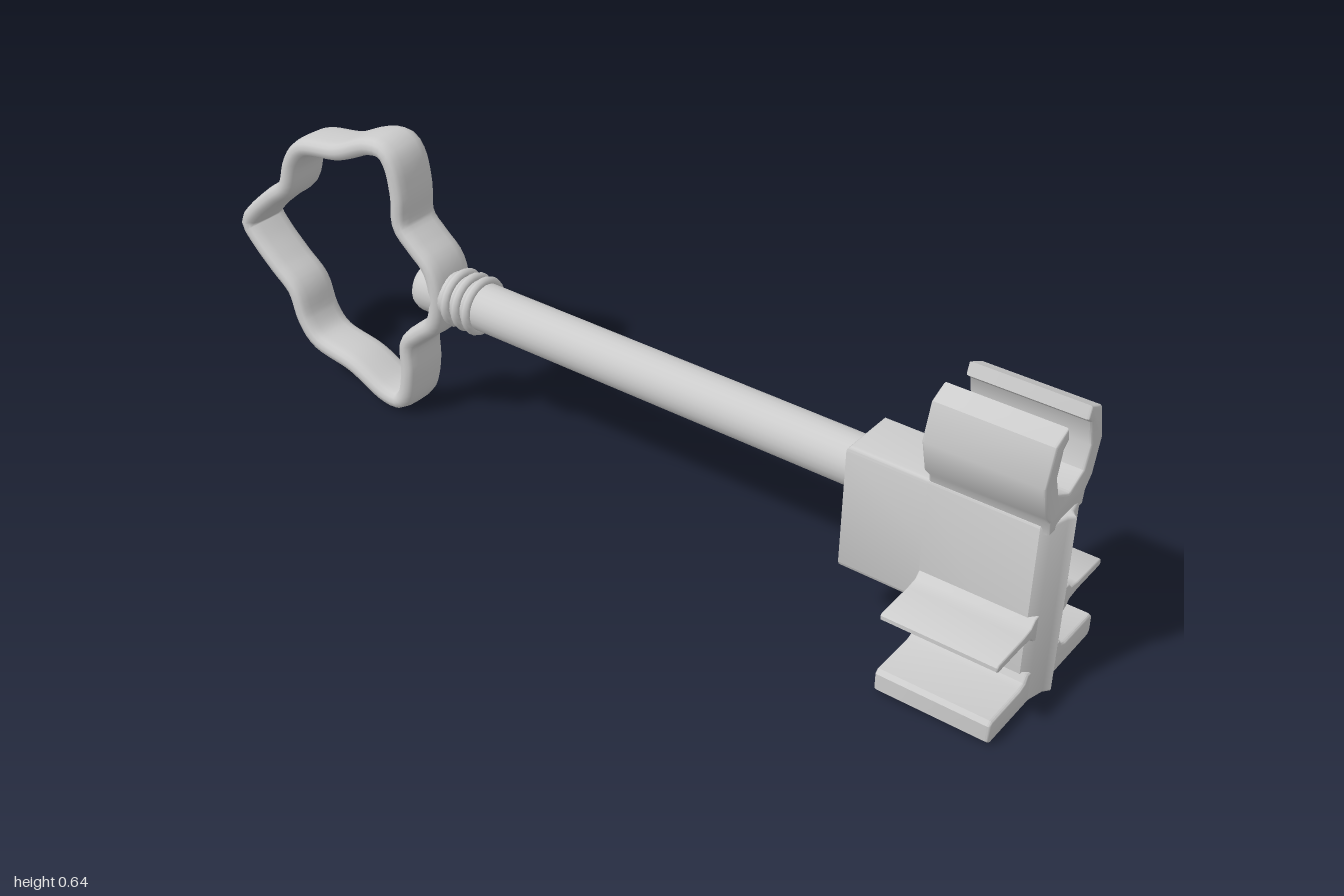
import * as THREE from 'three';
import { toCreasedNormals } from 'three/addons/utils/BufferGeometryUtils.js';

const MID = 0.323; // height of the shaft axis

export function createModel() {
  const group = new THREE.Group();
  const mat = new THREE.MeshStandardMaterial({ color: 0xcccccc });

  const add = (name, geo) => {
    const mesh = new THREE.Mesh(geo, mat);
    mesh.name = name;
    group.add(mesh);
    return mesh;
  };
  const outline = (pts) => new THREE.Shape(pts.map(([x, y]) => new THREE.Vector2(x, y)));
  const mirrored = (half) => [...half, ...half.slice().reverse().map(([x, y]) => [-x, y])];

  // Softly bevelled slab between two depths
  const slab = (pts, from, to, b) => {
    const geo = new THREE.ExtrudeGeometry(outline(pts), {
      depth: to - from - 2 * b, bevelThickness: b, bevelSize: b, bevelOffset: -b, bevelSegments: 3,
    });
    geo.translate(0, 0, from + b);
    return toCreasedNormals(geo, 0.7);
  };
  // Slab standing upright: plan given as (x, z), raised from y0 to y1
  const upright = (plan, y0, y1, b) => {
    const geo = slab(plan.map(([x, z]) => [x, -z]).reverse(), y0, y1, b);
    return geo.rotateX(-Math.PI / 2);
  };

  // Bit: rear block and ridged front column
  add('bitBlock', upright([[-0.064, 0.585], [-0.064, 0.93], [0.064, 0.93], [0.064, 0.585]], 0.128, 0.393, 0.01));
  add('bitColumn', upright(
    [[-0.064, 0.75], [-0.064, 0.965], [-0.05, 0.98], [-0.012, 0.99], [0, 1], [0.012, 0.99], [0.05, 0.98], [0.064, 0.965], [0.064, 0.75]],
    0.004, 0.393, 0.008));

  // Foot plate flaring up into the column
  add('footPlate', slab(mirrored([
    [0.185, 0.004], [0.193, 0.012], [0.193, 0.046], [0.185, 0.054],
    [0.085, 0.055], [0.07, 0.06], [0.062, 0.075],
  ]), 0.75, 0.98, 0.006));

  // Side fins with flared roots
  for (const s of [1, -1]) {
    const pts = [
      [0.05, 0.145], [0.062, 0.15], [0.072, 0.16], [0.1, 0.164], [0.187, 0.164], [0.192, 0.168],
      [0.192, 0.176], [0.187, 0.18], [0.1, 0.182], [0.075, 0.186], [0.063, 0.198], [0.05, 0.2],
    ].map(([x, y]) => [s * x, y]);
    add(s > 0 ? 'leftFin' : 'rightFin', slab(pts, 0.75, 0.98, 0.003));
  }

  // Open clip on top of the bit
  add('clip', slab(mirrored([
    [0.06, 0.375], [0.064, 0.403], [0.084, 0.424], [0.103, 0.493], [0.082, 0.564], [0.042, 0.582],
    [0.034, 0.558], [0.05, 0.545], [0.061, 0.495], [0.045, 0.452], [0.003, 0.432],
  ]), 0.75, 0.982, 0.005));

  // Shaft and collar rings
  const shaft = new THREE.CylinderGeometry(0.051, 0.051, 1.02, 24).rotateX(Math.PI / 2);
  add('shaft', shaft).position.set(0, MID, 0.1);
  for (const z of [-0.328, -0.356, -0.384]) {
    add('collarRing', new THREE.TorusGeometry(0.054, 0.01, 8, 24)).position.set(0, MID, z);
  }

  // Rounded end of the shaft inside the bow
  const knobProfile = [[0, 0], [0.04, 0], [0.05, 0.008], [0.055, 0.022], [0.054, 0.06], [0.046, 0.085], [0.04, 0.105]];
  const knob = new THREE.LatheGeometry(knobProfile.map(([r, h]) => new THREE.Vector2(r, h)), 20);
  add('shaftKnob', knob.rotateX(Math.PI / 2)).position.set(0, MID, -0.488);

  // Bow: wavy closed band, upper half mirrored about the shaft axis (z, height offset)
  const upper = [
    [-0.435, 0.065], [-0.475, 0.102], [-0.512, 0.14], [-0.514, 0.21], [-0.528, 0.275], [-0.548, 0.298],
    [-0.59, 0.297], [-0.68, 0.258], [-0.79, 0.234], [-0.825, 0.195], [-0.85, 0.127], [-0.9, 0.085], [-0.955, 0.035],
  ];
  const path = [[-0.42, 0], ...upper, [-0.98, 0], ...upper.slice().reverse().map(([z, y]) => [z, -y])];
  const curve = new THREE.CatmullRomCurve3(path.map(([z, y]) => new THREE.Vector3(0, MID + y, z)), true, 'centripetal');
  add('bow', band(curve, 120, 16, 0.054, 0.021));

  return group;
}

// Sweeps a rounded oblong section round a closed curve lying in the yz plane
function band(curve, steps, sides, halfWidth, halfThick) {
  const pos = [], index = [];
  const soft = (v) => Math.sign(v) * Math.abs(v) ** 0.65;
  for (let i = 0; i < steps; i++) {
    const p = curve.getPointAt(i / steps), t = curve.getTangentAt(i / steps);
    for (let j = 0; j < sides; j++) {
      const a = (j / sides) * 2 * Math.PI;
      const n = halfThick * soft(Math.sin(a));
      pos.push(halfWidth * soft(Math.cos(a)), p.y + t.z * n, p.z - t.y * n);
      const i2 = (i + 1) % steps, j2 = (j + 1) % sides;
      const A = i * sides + j, B = i * sides + j2, C = i2 * sides + j2, D = i2 * sides + j;
      index.push(A, B, C, A, C, D);
    }
  }
  const geo = new THREE.BufferGeometry();
  geo.setAttribute('position', new THREE.Float32BufferAttribute(pos, 3));
  geo.setIndex(index);
  geo.computeVertexNormals();
  return geo;
}
